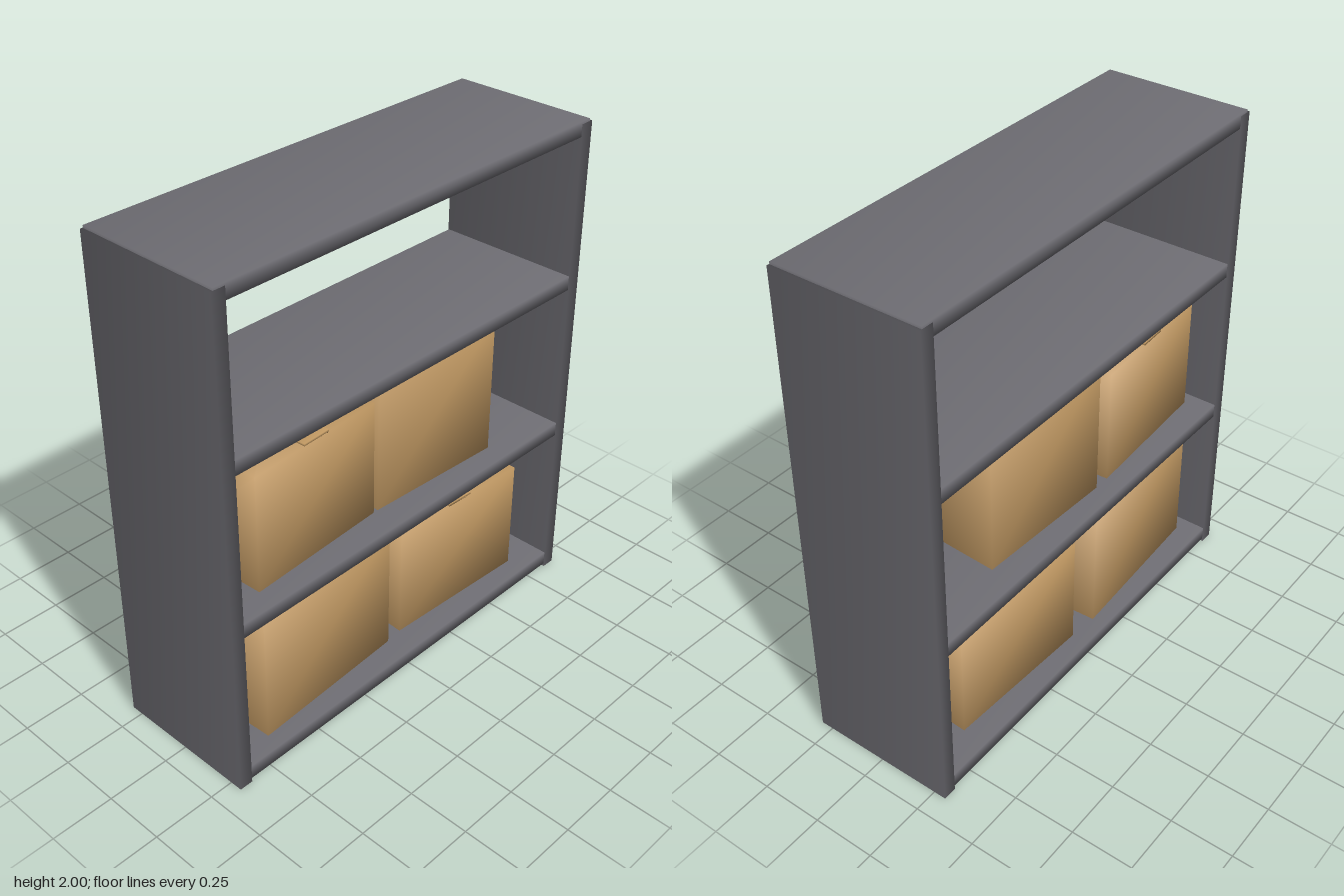
import * as THREE from 'three';
import { mergeVertices } from 'three/addons/utils/BufferGeometryUtils.js';

const grey = new THREE.MeshStandardMaterial({ color: 0x6e6d73 });
grey.name = 'grey metal';
const brown = new THREE.MeshStandardMaterial({ color: 0xc09862 });
brown.name = 'brown cardboard';

// Box with shared corners, so its normals blend smoothly over the edges
function softBox(name, w, h, d, material) {
  let geo = new THREE.BoxGeometry(w, h, d);
  geo.deleteAttribute('normal');
  geo.deleteAttribute('uv');
  geo.clearGroups();
  geo = mergeVertices(geo);
  geo.computeVertexNormals();
  const mesh = new THREE.Mesh(geo, material);
  mesh.name = name;
  return mesh;
}

// Carton standing on y, turned by yaw, with a handle tab near each end of its lid
function carton(name, x, y, w, h, d, yaw) {
  const group = new THREE.Group();
  group.name = name;
  const body = softBox('cartonBody', w, h, d, brown);
  body.position.y = h / 2;
  group.add(body);
  for (const s of [1, -1]) {
    const tab = softBox('handleTab', 0.12, 0.012, 0.07, brown);
    tab.position.set(0, h + 0.003, s * (d / 2 - 0.035));
    group.add(tab);
  }
  group.position.set(x, y, 0);
  group.rotation.y = yaw;
  return group;
}

export function createModel() {
  const model = new THREE.Group();
  model.name = 'shelvingUnit';

  // Side panels
  for (const s of [1, -1]) {
    const side = softBox(s > 0 ? 'leftPanel' : 'rightPanel', 0.055, 1.99, 0.6, grey);
    side.position.set(s * 0.8775, 0.995, 0);
    model.add(side);
  }

  // Shelves, slightly set back from the panel edges
  [0.043, 0.7, 1.358, 1.971].forEach((y, i) => {
    const shelf = softBox('shelf' + (i + 1), 1.79, 0.058, 0.595, grey);
    shelf.position.y = y;
    model.add(shelf);
  });

  // Cartons
  model.add(
    carton('lowerRightCarton', -0.4, 0.105, 0.675, 0.55, 0.48, 0.05),
    carton('lowerLeftCarton', 0.355, 0.105, 0.64, 0.475, 0.46, -0.05),
    carton('upperRightCarton', -0.44, 0.765, 0.595, 0.47, 0.46, 0.05),
    carton('upperLeftCarton', 0.197, 0.765, 0.593, 0.57, 0.46, -0.05),
  );
  return model;
}
